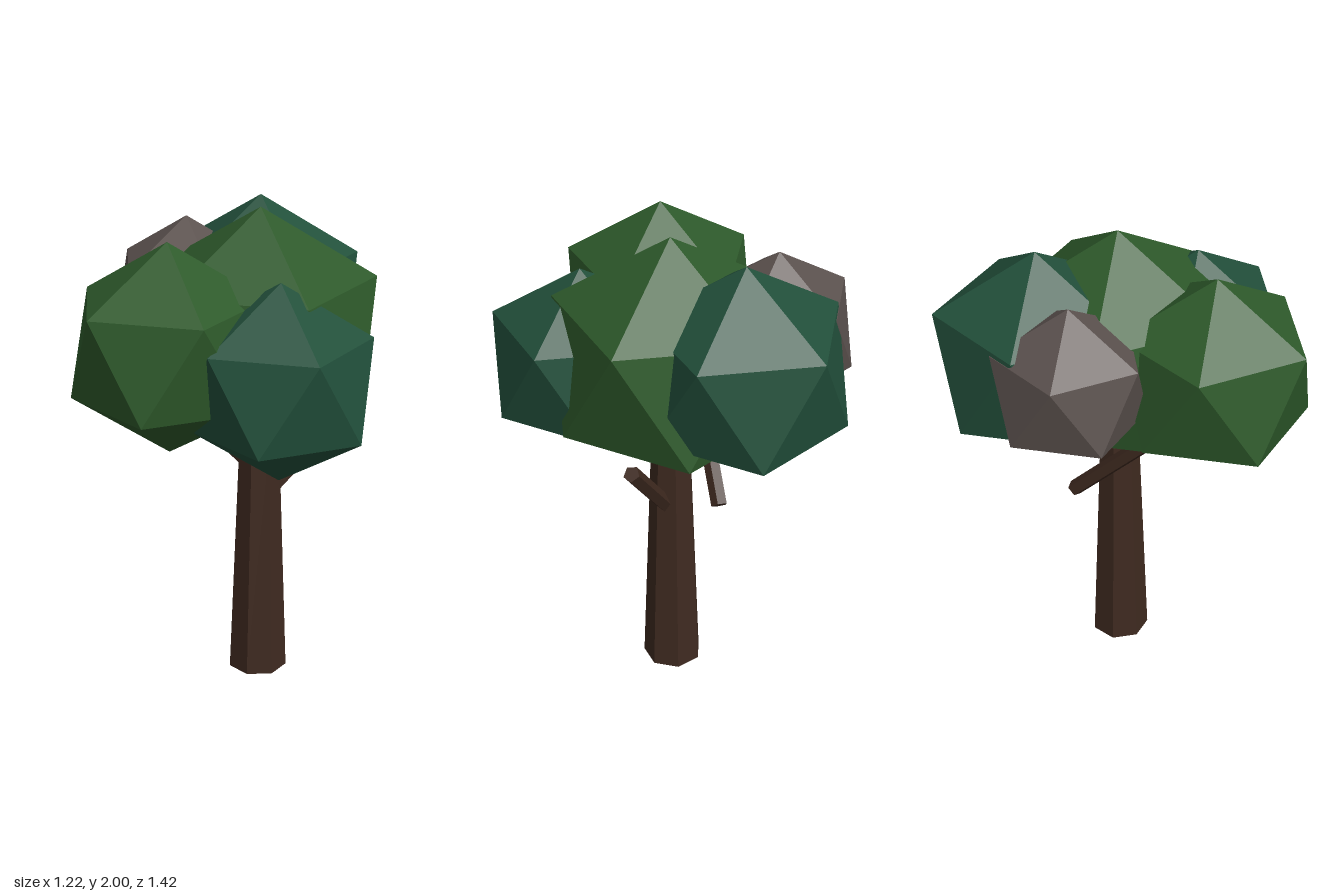
import * as THREE from 'three';

const material = (name, color) => {
  const m = new THREE.MeshStandardMaterial({ color, flatShading: true });
  m.name = name;
  return m;
};

// Faceted tapered cylinder running between two points
function limb(name, from, to, r0, r1, sides, mat) {
  const a = new THREE.Vector3(...from), b = new THREE.Vector3(...to);
  const dir = b.clone().sub(a);
  const geo = new THREE.CylinderGeometry(r1, r0, dir.length(), sides, 1, false, Math.PI).toNonIndexed();
  geo.computeVertexNormals();
  const mesh = new THREE.Mesh(geo, mat);
  mesh.name = name;
  mesh.position.copy(a).add(b).multiplyScalar(0.5);
  mesh.quaternion.setFromUnitVectors(new THREE.Vector3(0, 1, 0), dir.normalize());
  return mesh;
}

// Icosahedron standing on one corner, with an upper-ring corner toward +x
function clump(name, [x, y, z], radius, mat) {
  const geo = new THREE.IcosahedronGeometry(radius, 0);
  geo.rotateZ(-Math.atan2(1, (1 + Math.sqrt(5)) / 2));
  const mesh = new THREE.Mesh(geo, mat);
  mesh.name = name;
  mesh.position.set(x, y, z);
  return mesh;
}

export function createModel() {
  const tree = new THREE.Group();
  tree.name = 'tree';

  const bark = material('bark brown', 0x3f2a20);
  const leaf = material('leaf green', 0x2e5a2b);
  const pine = material('deep green', 0x22503b);
  const grey = material('withered grey', 0x5c524f);

  // Trunk and branches
  tree.add(
    limb('trunk', [0.145, 0, 0], [0.145, 1.02, 0], 0.123, 0.084, 7, bark),
    limb('sideBranch', [0.19, 0.8, 0], [0.478, 1.133, 0], 0.034, 0.034, 5, bark),
    limb('backBranch', [0.13, 0.83, -0.21], [-0.129, 1.18, 0.018], 0.034, 0.034, 5, bark),
  );

  // Foliage
  tree.add(
    clump('centreFoliage', [0.145, 1.48, 0], 0.52, leaf),
    clump('rightFoliage', [-0.23, 1.505, 0.24], 0.425, leaf),
    clump('frontFoliage', [0.19, 1.4, 0.37], 0.4, pine),
    clump('backFoliage', [0.175, 1.52, -0.33], 0.45, pine),
    clump('witheredFoliage', [-0.13, 1.555, -0.325], 0.333, grey),
  );
  return tree;
}
